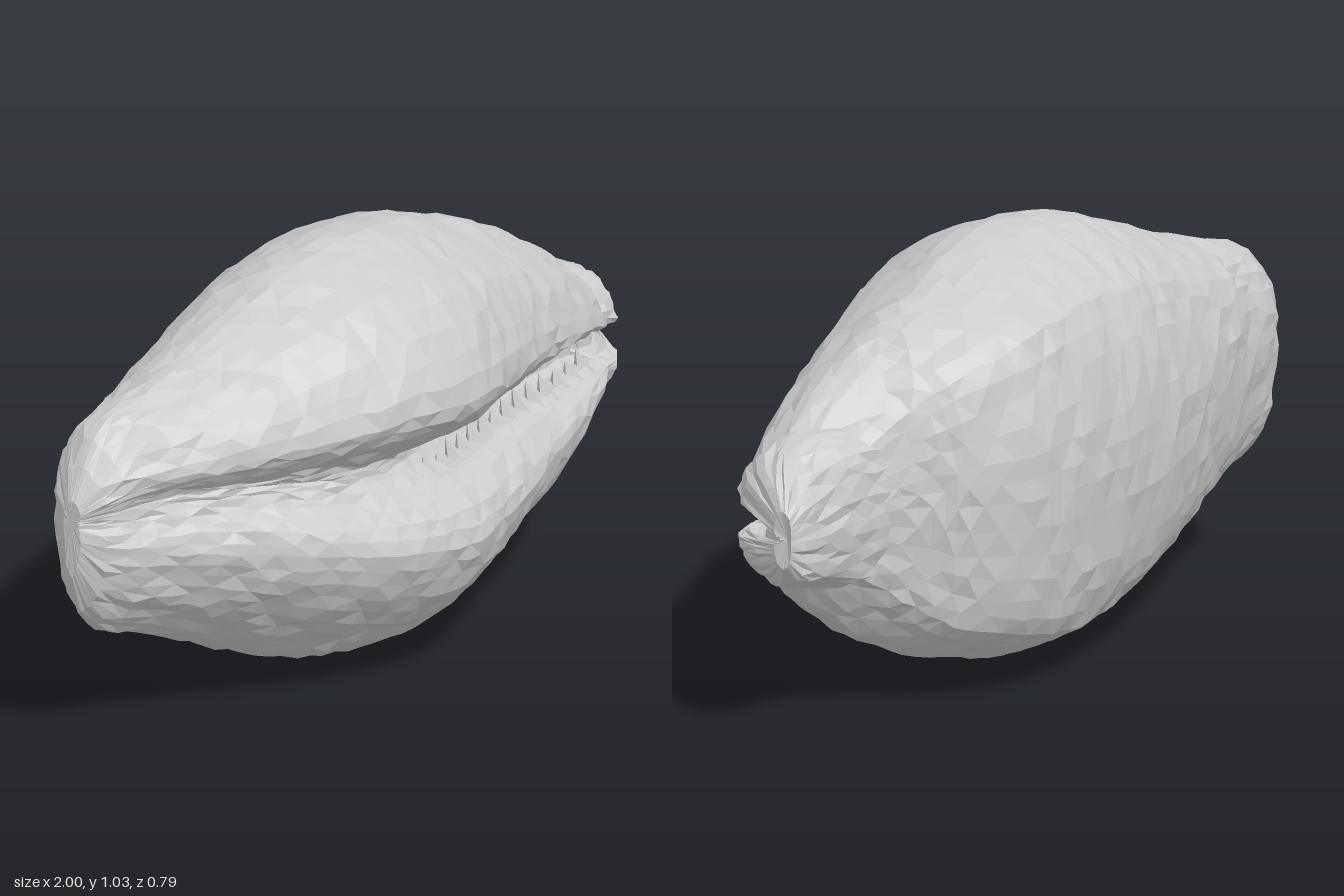
import * as THREE from 'three';

// Cross-sections as (z, y) at full size, starting in the slit and going over the top.
// Left half: round back and a shallow, nearly closed slit
const leftProfile = [
  [0.275, 0.53], [0.285, 0.55], [0.305, 0.575], [0.36, 0.63], [0.39, 0.69], [0.35, 0.8], [0.27, 0.91],
  [0.14, 0.99], [0.02, 1.03], [-0.09, 1.015], [-0.2, 0.96], [-0.285, 0.88], [-0.34, 0.78], [-0.38, 0.64],
  [-0.39, 0.5], [-0.375, 0.35], [-0.34, 0.225], [-0.28, 0.13], [-0.18, 0.05], [-0.06, 0], [0.05, 0.01],
  [0.15, 0.05], [0.24, 0.11], [0.32, 0.18], [0.375, 0.26], [0.4, 0.34], [0.375, 0.41], [0.31, 0.465], [0.285, 0.505],
];
// Right half: squarer back and a deep, open slit
const rightProfile = [
  [0.12, 0.53], [0.17, 0.58], [0.29, 0.58], [0.36, 0.63], [0.39, 0.69], [0.355, 0.8], [0.28, 0.91],
  [0.15, 0.99], [0.04, 1.03], [-0.06, 1.025], [-0.19, 0.98], [-0.3, 0.915], [-0.35, 0.79], [-0.385, 0.63],
  [-0.39, 0.5], [-0.38, 0.34], [-0.36, 0.21], [-0.32, 0.11], [-0.2, 0.055], [-0.06, 0], [0.04, 0.015],
  [0.15, 0.05], [0.24, 0.11], [0.32, 0.18], [0.375, 0.26], [0.4, 0.34], [0.37, 0.41], [0.28, 0.475], [0.16, 0.475],
];
const [leftCurve, rightCurve] = [leftProfile, rightProfile].map((profile) =>
  new THREE.CatmullRomCurve3(profile.map(([z, y]) => new THREE.Vector3(0, y, z)), true));

// Stations along the length: x, top, bottom, front, back
const bodyStations = [
  [-1, 0.63, 0.44, -0.02, -0.07], [-0.97, 0.68, 0.36, 0.01, -0.11], [-0.93, 0.74, 0.31, 0.04, -0.15],
  [-0.87, 0.785, 0.265, 0.07, -0.19], [-0.75, 0.82, 0.23, 0.13, -0.22], [-0.6, 0.87, 0.17, 0.205, -0.27],
  [-0.4, 0.95, 0.085, 0.3, -0.325], [-0.2, 1.015, 0.02, 0.37, -0.37], [0, 1.03, 0, 0.39, -0.39],
  [0.2, 1.0, 0.03, 0.335, -0.395], [0.35, 0.955, 0.07, 0.285, -0.375], [0.45, 0.92, 0.1, 0.25, -0.33],
  [0.6, 0.85, 0.16, 0.205, -0.26], [0.7, 0.79, 0.225, 0.175, -0.21], [0.78, 0.73, 0.29, 0.145, -0.175],
  [0.83, 0.67, 0.35, 0.12, -0.14],
];
const spireStations = [
  [0.58, 0.69, 0.34, 0, -0.18], [0.72, 0.72, 0.33, 0.04, -0.17], [0.8, 0.72, 0.345, 0.11, -0.16],
  [0.87, 0.69, 0.36, 0.115, -0.15], [0.92, 0.665, 0.375, 0.07, -0.145], [0.96, 0.635, 0.4, 0, -0.14],
  [1, 0.59, 0.45, -0.08, -0.13],
];
// Slit: x, centre height, extra half-opening
const slitStations = [[-1, 0.58, 0], [-0.8, 0.59, 0], [-0.5, 0.565, 0], [-0.2, 0.54, 0],
  [0.1, 0.525, 0], [0.4, 0.525, 0.01], [0.8, 0.53, 0.03], [0.9, 0.52, 0.025], [1, 0.52, 0]];

// Smooth interpolation between stations
function sampleTable(table, x) {
  const n = table.length - 1;
  let i = 0;
  while (i < n - 1 && x > table[i + 1][0]) i++;
  const a = table[i], b = table[i + 1];
  const span = b[0] - a[0], t = THREE.MathUtils.clamp((x - a[0]) / span, 0, 1);
  const slope = (j, k) => {
    const p = table[Math.max(j - 1, 0)], q = table[Math.min(j + 1, n)];
    return (q[k] - p[k]) / (q[0] - p[0]) * span;
  };
  return a.map((v, k) => v + (b[k] - v) * t * t * (3 - 2 * t)
    + slope(i, k) * t * (1 - t) ** 2 - slope(i + 1, k) * t * t * (1 - t));
}

function placePoint(table, x, z, y) {
  const [, top, bottom, front, back] = sampleTable(table, x);
  const [, centre, opening] = sampleTable(slitStations, x);
  const d = y - 0.52;
  const h = d > 0 ? (d / 0.51) * (top - centre) : (d / 0.52) * (centre - bottom);
  const nearSlit = z > 0 ? Math.max(0, 1 - Math.abs(d) / 0.16) : 0;
  const pz = (front + back) / 2 + z * (front - back) / 0.79;
  // The rim around the spire slants towards the back
  const slant = table === bodyStations ? THREE.MathUtils.smoothstep(x, 0.45, 0.83) * 0.6 : 0;
  return [x + slant * Math.min(0, pz - 0.02),
    centre + h + Math.sign(d) * nearSlit * opening, pz];
}

let seed = 7;
function jitter(size) {
  seed = (seed * 16807) % 2147483647;
  return (seed / 2147483647 - 0.5) * size;
}

// Loft the section through the stations, with slightly uneven facets
function loft(table, rings, around, endInset) {
  const x0 = table[0][0], x1 = table[table.length - 1][0];
  const positions = [], index = [];
  for (let i = 0; i <= rings; i++) {
    const x = x0 + (x1 - x0) * i / rings;
    const rough = i === 0 || i === rings ? 0.002 : 0.01;
    const blend = THREE.MathUtils.smoothstep(x, -0.35, 0.35);
    for (let j = 0; j < around; j++) {
      const p = leftCurve.getPoint(j / around).lerp(rightCurve.getPoint(j / around), blend);
      const [px, py, pz] = placePoint(table, x, p.z, p.y);
      positions.push(px + jitter(rough), py + jitter(rough), pz + jitter(rough));
    }
  }
  for (let i = 0; i < rings; i++) {
    for (let j = 0; j < around; j++) {
      const a = i * around + j, b = i * around + (j + 1) % around;
      const c = a + around, d = b + around;
      if ((i + j) % 2) index.push(a, c, b, b, c, d);
      else index.push(a, c, d, a, d, b);
    }
  }
  // End caps
  const first = positions.length / 3, last = first + 1;
  positions.push(...placePoint(table, x0, -0.1, 0.52));
  const tip = placePoint(table, x1, -0.1, 0.52);
  positions.push(tip[0] - endInset, tip[1], tip[2]);
  for (let j = 0; j < around; j++) {
    const k = (j + 1) % around;
    index.push(first, j, k, last, rings * around + k, rings * around + j);
  }
  const geometry = new THREE.BufferGeometry();
  geometry.setAttribute('position', new THREE.Float32BufferAttribute(positions, 3));
  geometry.setIndex(index);
  geometry.computeVertexNormals();
  return geometry;
}

export function createModel() {
  const group = new THREE.Group();
  group.name = 'cowrieShell';
  const material = new THREE.MeshStandardMaterial({
    color: 0xcccccc, flatShading: true, side: THREE.DoubleSide,
  });
  const add = (name, geometry, parent = group) => {
    const mesh = new THREE.Mesh(geometry, material);
    mesh.name = name;
    parent.add(mesh);
    return mesh;
  };

  add('shellBody', loft(bodyStations, 42, 58, 0.03));
  add('spire', loft(spireStations, 10, 58, 0.01));

  // Pointed teeth along both edges of the slit
  const teeth = new THREE.Group();
  teeth.name = 'teeth';
  group.add(teeth);
  const toothGeometry = new THREE.ConeGeometry(0.024, 0.09, 4);
  for (let i = 0; i < 17; i++) {
    const x = -0.22 + i * 0.06;
    for (const upper of [true, false]) {
      const tooth = add(upper ? 'upperTooth' : 'lowerTooth', toothGeometry, teeth);
      const [px, py, pz] = placePoint(bodyStations, Math.min(x + (upper ? 0 : 0.03), 0.79),
        0.24, upper ? 0.58 : 0.475);
      tooth.position.set(px, py + (upper ? 0.004 : 0.006), pz);
      tooth.rotation.x = upper ? Math.PI - 0.3 : -0.4;
      tooth.scale.set(1, 0.75 + jitter(0.5), 1.6);
    }
  }
  return group;
}
